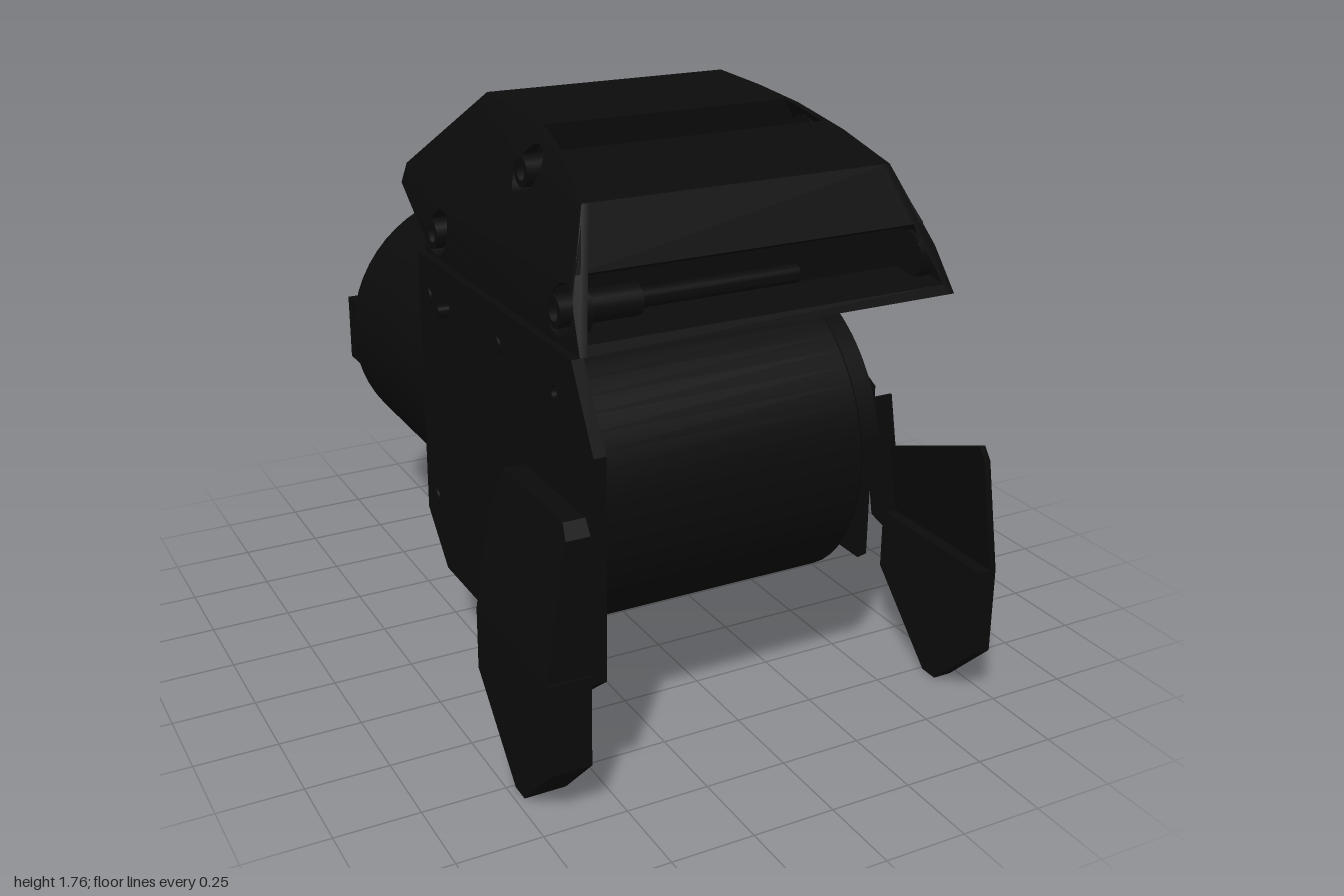
import * as THREE from 'three';
import { toCreasedNormals } from 'three/addons/utils/BufferGeometryUtils.js';

const material = new THREE.MeshStandardMaterial({ color: 0x0b0b0b, side: THREE.DoubleSide });

function add(parent, name, geometry, position = [0, 0, 0]) {
  const mesh = new THREE.Mesh(toCreasedNormals(geometry, 0.5), material);
  mesh.name = name;
  mesh.position.set(...position);
  parent.add(mesh);
  return mesh;
}

const outlineShape = points => new THREE.Shape(points.map(p => new THREE.Vector2(...p)));

// Move x of every vertex by a rule of (x, y)
function warpX(g, rule) {
  const p = g.attributes.position;
  for (let i = 0; i < p.count; i++) p.setX(i, rule(p.getX(i), p.getY(i)));
  g.computeVertexNormals();
  return g;
}

// Plate drawn in (z, y), spanning x0..x1; holes are [z, y, radius]
function plate(points, x0, x1, holes = []) {
  const shape = outlineShape(points);
  for (const [z, y, r] of holes) {
    shape.holes.push(new THREE.Path().absarc(z, y, r, 0, Math.PI * 2, true));
  }
  return new THREE.ExtrudeGeometry(shape, { depth: x1 - x0, bevelEnabled: false, curveSegments: 10 })
    .rotateY(-Math.PI / 2).translate(x1, 0, 0);
}

// Cylinder lying along x from x0 to x1
function rod(x0, x1, r, open = false) {
  return new THREE.CylinderGeometry(r, r, x1 - x0, 18, 1, open)
    .rotateZ(Math.PI / 2).translate((x0 + x1) / 2, 0, 0);
}

// Motor along z with its detailed end face at z = 0
function motor(name, length) {
  const group = new THREE.Group();
  group.name = name;
  const profile = [[0, -length], [0.455, -length], [0.455, -0.012], [0.443, 0],
    [0.27, 0], [0.26, -0.03], [0, -0.03]];
  add(group, 'motorBody', new THREE.LatheGeometry(profile.map(p => new THREE.Vector2(...p)), 56)
    .rotateX(Math.PI / 2));

  // Hub with a ring of round openings
  const hub = new THREE.Shape().absarc(0, 0, 0.235, 0, Math.PI * 2);
  hub.holes.push(new THREE.Path().absarc(0, 0, 0.05, 0, Math.PI * 2, true));
  for (let i = 0; i < 6; i++) {
    const a = i * Math.PI / 3;
    hub.holes.push(new THREE.Path().absarc(0.15 * Math.cos(a), 0.15 * Math.sin(a), 0.05, 0, Math.PI * 2, true));
    const b = a + Math.PI / 6;
    add(group, 'faceBolt', new THREE.CylinderGeometry(0.032, 0.032, 0.016, 12).rotateX(Math.PI / 2),
      [0.37 * Math.cos(b), 0.37 * Math.sin(b), -0.004]);
  }
  add(group, 'motorHub', new THREE.ExtrudeGeometry(hub, { depth: 0.022, bevelEnabled: false, curveSegments: 16 }),
    [0, 0, -0.03]);
  return group;
}

export function createModel() {
  const model = new THREE.Group();
  model.name = 'jointAssembly';

  // Two motors at right angles
  const front = motor('crossMotor', 0.89);
  front.rotation.y = Math.PI / 2;
  front.position.set(0.325, 0.79, 0.41);
  const rear = motor('rearMotor', 0.88);
  rear.rotation.y = Math.PI;
  rear.position.set(-0.125, 0.79, -0.94);
  model.add(front, rear);
  add(model, 'rearConnector', new THREE.BoxGeometry(0.14, 0.22, 0.1), [-0.5, 0.79, -0.95]);

  // Raised arc on the free end of the cross motor
  const arc = new THREE.Shape().absarc(0, 0, 0.445, 0.2, Math.PI - 0.2);
  arc.absarc(0, 0, 0.35, Math.PI - 0.2, 0.2, true);
  add(model, 'endArc', new THREE.ExtrudeGeometry(arc, { depth: 0.06, bevelEnabled: false, curveSegments: 32 })
    .rotateY(Math.PI / 2), [0.322, 0.79, 0.41]);
  add(model, 'endConnector', new THREE.BoxGeometry(0.06, 0.2, 0.14), [0.345, 0.78, 0.74]);

  // Flange between the motors
  const c = 0.12, fx = 0.45, fy = 0.46;
  const flange = outlineShape([[-fx, c - fy], [c - fx, -fy], [fx - c, -fy], [fx, c - fy],
    [fx, fy - c], [fx - c, fy], [c - fx, fy], [-fx, fy - c]]);
  add(model, 'motorFlange', new THREE.ExtrudeGeometry(flange, { depth: 0.2, bevelEnabled: false }),
    [-0.125, 0.785, -0.22]);

  // Thick right side plate and thin left side plate
  add(model, 'rightSidePlate', plate([[-0.2, 0.43], [-0.05, 0.28], [0.5, 0.28], [0.85, 0.3], [1, 0.42],
    [1, 1.06], [0.875, 1.28], [-0.2, 1.28]], -0.595, -0.56, [[0.77, 1.16, 0.018]]));
  add(model, 'leftSidePlate', plate([[-0.2, 0.43], [-0.05, 0.28], [0.48, 0.28], [0.52, 0.31],
    [0.52, 0.88], [-0.2, 1.24]], 0.596, 0.6));
  for (const [z, y] of [[-0.12, 0.5], [-0.12, 1.16], [0.4, 0.36], [0.4, 1.17]]) {
    add(model, 'plateBolt', rod(-0.602, -0.58, 0.028), [0, y, z]);
  }
  add(model, 'cablePlug', rod(-0.63, -0.59, 0.02), [0, 1.16, 0.03]);

  // Right leg is a solid tapering block, left leg an open skin with a back wall
  const foot = [[0.99, 0.44], [0.99, 0.17], [0.82, 0], [0.76, 0], [0.51, 0.25], [0.51, 0.44]];
  const lean = y => (y - 0.44) * 0.15;
  add(model, 'rightFoot', plate(foot, -0.725, -0.6));
  add(model, 'rightLeg', warpX(plate([[0.51, 0.44], [0.51, 0.72], [0.57, 0.88], [0.95, 0.88], [0.98, 0.84],
    [0.98, 0.44]], -0.725, -0.58), (x, y) => x < -0.7 ? x + lean(y) : x));
  add(model, 'leftFoot', plate(foot, 0.665, 0.725));
  add(model, 'leftLeg', warpX(plate([[0.51, 0.44], [0.51, 0.66], [0.97, 0.84], [0.99, 0.8], [0.99, 0.44]],
    0.705, 0.725), (x, y) => x - lean(y)));
  add(model, 'leftLegWall', new THREE.ExtrudeGeometry(outlineShape([[0.6, 0.84], [0.6, 0.58], [0.62, 0.44],
    [0.665, 0.39], [0.725, 0.39], [0.725, 0.44], [0.665, 0.84]]), { depth: 0.008, bevelEnabled: false }),
  [0, 0, 0.51]);

  // Armour cover: grooved roof band between two leaning cheeks
  const rearPart = [[-0.2, 1.31], [-0.46, 1.43], [-0.46, 1.49], [-0.12, 1.76], [0.1, 1.75]];
  const crest = [[0.5, 1.685], [0.68, 1.62]];
  const cheek = [...rearPart, [0.3, 1.73], ...crest, [0.875, 1.28], [-0.2, 1.28]];
  const roof = [...rearPart, [0.26, 1.735], [0.26, 1.6], [0.29, 1.57], [0.36, 1.57], [0.44, 1.703],
    ...crest, [0.77, 1.463], [0.69, 1.43], [0.69, 1.32], [0.86, 1.306], [0.875, 1.28]];
  const inner = roof.map(([z, y]) => [0.2 + (z - 0.2) * 0.94, 1.28 + (y - 1.28) * 0.94]).reverse();
  const width = y => 0.58 - 0.17 * Math.pow(Math.max(0, y - 1.28) / 0.46, 1.7);
  const bores = [[0.33, 1.63], [0.74, 1.365], [-0.11, 1.355]];
  const cover = new THREE.Group();
  cover.name = 'armourCover';
  cover.position.x = 0.01;
  model.add(cover);
  add(cover, 'roof', warpX(plate([...roof, ...inner], -1, 1), (x, y) => x * (width(y) - 0.005)));
  const openings = bores.map(b => [...b, 0.07]);
  add(cover, 'leftCheek', warpX(plate(cheek, -0.02, 0, openings), (x, y) => x + width(y)));
  add(cover, 'rightCheek', warpX(plate(cheek, 0, 0.02, openings), (x, y) => x - width(y)));

  // Sunk bores in the cheeks, and hollow bolts reaching in from the right
  for (const [z, y] of bores) {
    for (const s of [-1, 1]) {
      const floor = s * (width(y) - 0.06);
      add(cover, 'boreWall', warpX(rod(0, 1, 0.07, true),
        (x, dy) => x > 0.5 ? s * width(y + dy) : floor), [0, y, z]);
      add(cover, 'boreFloor', new THREE.RingGeometry(0.026, 0.07, 20).rotateY(s * Math.PI / 2), [floor, y, z]);
    }
    add(cover, 'boltHead', rod(-width(y) - 0.02, -0.35, 0.045, true), [0, y, z]);
    add(cover, 'boltRim', new THREE.RingGeometry(0.026, 0.045, 18).rotateY(-Math.PI / 2),
      [-width(y) - 0.02, y, z]);
    add(cover, 'boltTube', rod(-0.36, 0.14, 0.027, true), [0, y, z]);
  }
  return model;
}
